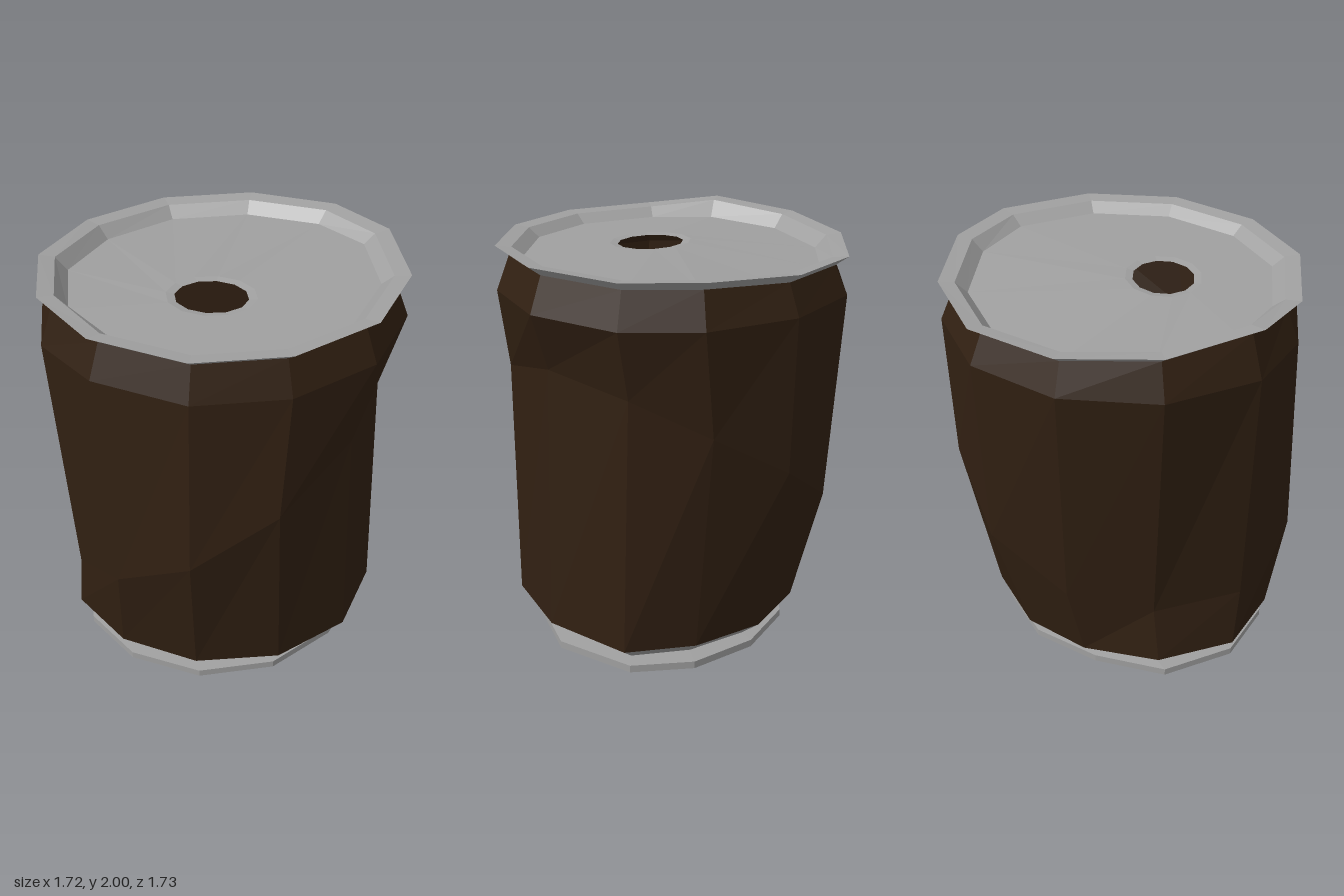
import * as THREE from 'three';

const N = 12;

// Outlines in [x, z], running from the back round the left side, front and right side.
const shoulderXZ = [[0.02, -0.86], [0.46, -0.75], [0.74, -0.51], [0.86, -0.06], [0.74, 0.38], [0.41, 0.70],
  [-0.01, 0.82], [-0.46, 0.70], [-0.74, 0.46], [-0.86, 0.02], [-0.74, -0.42], [-0.42, -0.75]];
const dentXYZ = [[0.02, 1.02, -0.84], [0.39, 1.25, -0.73], [0.67, 1.43, -0.49], [0.75, 1.47, -0.02],
  [0.66, 1.36, 0.42], [0.38, 1.15, 0.76], [-0.01, 0.88, 0.87], [-0.38, 0.67, 0.76],
  [-0.65, 0.48, 0.46], [-0.70, 0.46, 0.02], [-0.61, 0.55, -0.39], [-0.36, 0.76, -0.72]];
const baseXZ = [[0.02, -0.68], [0.39, -0.63], [0.69, -0.46], [0.79, -0.02], [0.69, 0.38], [0.39, 0.66],
  [-0.01, 0.76], [-0.40, 0.67], [-0.68, 0.43], [-0.74, 0.04], [-0.58, -0.31], [-0.33, -0.56]];
const footXZ = [[0.03, -0.64], [0.38, -0.61], [0.64, -0.44], [0.76, -0.05], [0.62, 0.33], [0.36, 0.61],
  [0.00, 0.73], [-0.36, 0.66], [-0.62, 0.44], [-0.71, 0.08], [-0.54, -0.25], [-0.30, -0.52]];

// Height change per corner of the bent rim, the lid floor and the sagging foot.
const lift = [-0.02, 0, 0, 0, 0, 0, 0, 0, 0.035, 0.005, -0.02, -0.03];
const dip = [-0.03, -0.01, 0, 0, 0, 0, 0, 0, 0, -0.015, -0.035, -0.04];
const sag = [-0.015, -0.005, 0, 0, 0, 0, 0, 0, 0, -0.002, -0.018, -0.025];

// A ring from an outline, scaled about (cx, cz), with heights bent per corner.
const ring = (outline, s, y, bend, cx = 0, cz = -0.02) => outline.map(([x, z], i) =>
  [cx + (x - cx) * s, y + bend[i], cz + (z - cz) * s]);
const flat = new Array(N).fill(0);

// A level ring around the drinking hole.
const holeRing = (rx, rz, y) => Array.from({ length: N }, (_, i) => {
  const a = i / N * Math.PI * 2;
  return [-0.02 + rx * Math.sin(a), y, 0.17 - rz * Math.cos(a)];
});

// Skin joining successive rings from top to bottom.
function loft(name, rings, color) {
  const index = [];
  for (let r = 0; r < rings.length - 1; r++) {
    for (let i = 0; i < N; i++) {
      const j = (i + 1) % N;
      const a = r * N + i, b = r * N + j, c = b + N, d = a + N;
      index.push(a, b, c, a, c, d);
    }
  }
  const g = new THREE.BufferGeometry();
  g.setAttribute('position', new THREE.Float32BufferAttribute(rings.flat(2), 3));
  g.setIndex(index);
  g.computeVertexNormals();
  const mesh = new THREE.Mesh(g, new THREE.MeshStandardMaterial({
    color, flatShading: true, side: THREE.DoubleSide }));
  mesh.name = name;
  return mesh;
}

export function createModel() {
  const group = new THREE.Group();
  group.name = 'crushedCan';
  const grey = 0xa0a0a0, brown = 0x312012;

  const neckTop = ring(shoulderXZ, 0.925, 1.92, lift);
  const shoulder = ring(shoulderXZ, 1, 1.755, flat);
  const base = ring(baseXZ, 1, 0.17, sag);

  // Dented wall
  group.add(loft('body', [neckTop, shoulder, dentXYZ, base], brown));

  // Lid with a drinking hole, recessed floor and flared rim
  group.add(loft('lid', [
    holeRing(0.17, 0.145, 1.905),
    holeRing(0.21, 0.18, 1.911),
    ring(shoulderXZ, 0.845, 1.912, dip),
    ring(shoulderXZ, 0.91, 1.957, lift),
    ring(shoulderXZ, 1, 1.965, lift),
    neckTop,
  ], grey));

  // Tapered lower edge, foot rim and recessed underside
  const cx = 0.025, cz = 0.045;
  group.add(loft('bottom', [
    base,
    ring(baseXZ, 0.84, 0.07, sag, cx, cz),
    ring(footXZ, 1, 0.067, sag, cx, cz),
    ring(footXZ, 1, 0.03, sag, cx, cz),
    ring(footXZ, 0.85, 0.027, sag, cx, cz),
    ring(footXZ, 0.82, 0.057, sag, cx, cz),
    ring(footXZ, 0, 0.053, flat, cx, cz),
  ], grey));

  return group;
}
